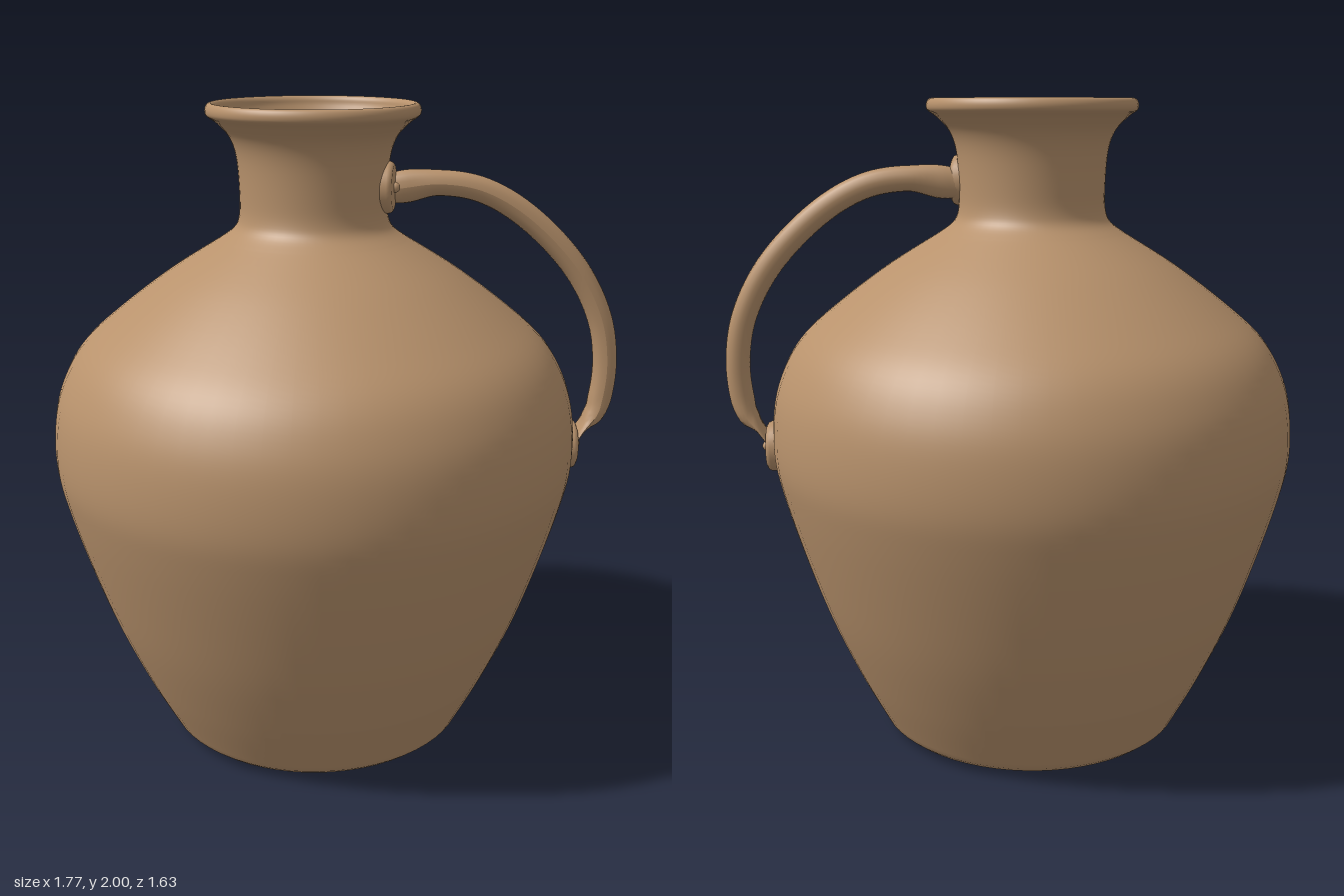
import * as THREE from 'three';

const clay = new THREE.MeshStandardMaterial({ color: 0xb8926c, side: THREE.DoubleSide });
const AXIS = -0.075; // x of the jug's turning axis

function add(parent, name, geometry) {
  const mesh = new THREE.Mesh(geometry, clay);
  mesh.name = name;
  parent.add(mesh);
  return mesh;
}

const lathe = (pts, sides = 64) =>
  new THREE.LatheGeometry(pts.map(p => (p.isVector2 ? p : new THREE.Vector2(...p))), sides);

// Smooth profile through [radius, y] points
const smooth = (pts, n) => new THREE.SplineCurve(pts.map(p => new THREE.Vector2(...p))).getPoints(n);

// Strap handle: a tube whose section changes from round to flat at the ends
function handleGeometry() {
  const path = new THREE.CatmullRomCurve3([
    [0.14, 1.745], [0.19, 1.75], [0.3, 1.762], [0.43, 1.742], [0.57, 1.665], [0.735, 1.5],
    [0.82, 1.34], [0.845, 1.2], [0.838, 1.09], [0.822, 1.03], [0.785, 0.985], [0.755, 0.94],
  ].map(([x, y]) => new THREE.Vector3(x, y, 0)));
  // x: position along the path, y: half thickness, z: half width
  const sections = [
    [0, 0.045, 0.03], [0.05, 0.05, 0.035], [0.13, 0.039, 0.039], [0.5, 0.039, 0.039],
    [0.87, 0.038, 0.039], [0.92, 0.032, 0.043], [0.96, 0.012, 0.05], [1, 0.008, 0.055],
  ];
  const steps = 72, sides = 16;
  const geo = new THREE.TubeGeometry(path, steps, 1, sides);
  const pos = geo.attributes.position;
  for (let i = 0; i < pos.count; i++) {
    const u = Math.floor(i / (sides + 1)) / steps;
    const c = path.getPointAt(u);
    const k = Math.max(1, sections.findIndex(s => s[0] >= u - 1e-6));
    const [a, b] = [sections[k - 1], sections[k]];
    const t = THREE.MathUtils.smoothstep(u, a[0], b[0]);
    const thick = THREE.MathUtils.lerp(a[1], b[1], t);
    const wide = THREE.MathUtils.lerp(a[2], b[2], t);
    pos.setXYZ(i, c.x + (pos.getX(i) - c.x) * thick, c.y + (pos.getY(i) - c.y) * thick, pos.getZ(i) * wide);
  }
  geo.computeVertexNormals();
  return geo;
}

// Round boss with a rivet, facing outward along its own +y
function mount(parent, name, radius) {
  const group = new THREE.Group();
  group.name = name;
  add(group, 'boss', lathe([
    [radius, -0.03], [radius, 0.01], [radius * 0.95, 0.02], [radius * 0.85, 0.025], [0, 0.026],
  ], 32));
  const rivet = add(group, 'rivet', new THREE.SphereGeometry(0.016, 16, 10));
  rivet.position.y = 0.027;
  parent.add(group);
  return group;
}

export function createModel() {
  const model = new THREE.Group();
  model.name = 'jug';

  // Vessel wall, from the foot to the root of the neck and up to the flared mouth
  const body = smooth([
    [0.485, 0.035], [0.57, 0.2], [0.658, 0.4], [0.728, 0.6], [0.787, 0.8], [0.812, 0.93],
    [0.806, 1.07], [0.775, 1.18], [0.715, 1.28], [0.61, 1.375], [0.45, 1.495], [0.29, 1.595],
  ], 60);
  const neck = smooth([
    [0.29, 1.595], [0.243, 1.63], [0.226, 1.67], [0.224, 1.74], [0.231, 1.84], [0.25, 1.9],
    [0.285, 1.94], [0.312, 1.96],
  ], 36).slice(1);
  const wall = add(model, 'vesselWall', lathe([[0.43, 0.006], [0.465, 0.018], ...body, ...neck]));
  wall.position.x = AXIS;

  // Rolled lip
  const lip = add(model, 'lip', lathe(smooth([
    [0.308, 1.957], [0.319, 1.967], [0.321, 1.982], [0.315, 1.996], [0.303, 2],
    [0.293, 1.99], [0.288, 1.97], [0.268, 1.93],
  ], 28)));
  lip.position.x = AXIS;

  // Flat underside
  const base = add(model, 'base', lathe([[0, 0], [0.43, 0.006]]));
  base.position.x = AXIS;

  // Handle with its two riveted mounts
  add(model, 'handle', handleGeometry());

  const upper = mount(model, 'upperMount', 0.078);
  const turn = 0.2;
  upper.position.set(AXIS + 0.22 * Math.cos(turn), 1.755, 0.22 * Math.sin(turn));
  upper.rotation.set(0, -turn, -Math.PI / 2, 'YXZ');

  const lower = mount(model, 'lowerMount', 0.08);
  lower.position.set(0.738, 0.925, 0);
  lower.rotation.z = -Math.PI / 2;

  return model;
}
